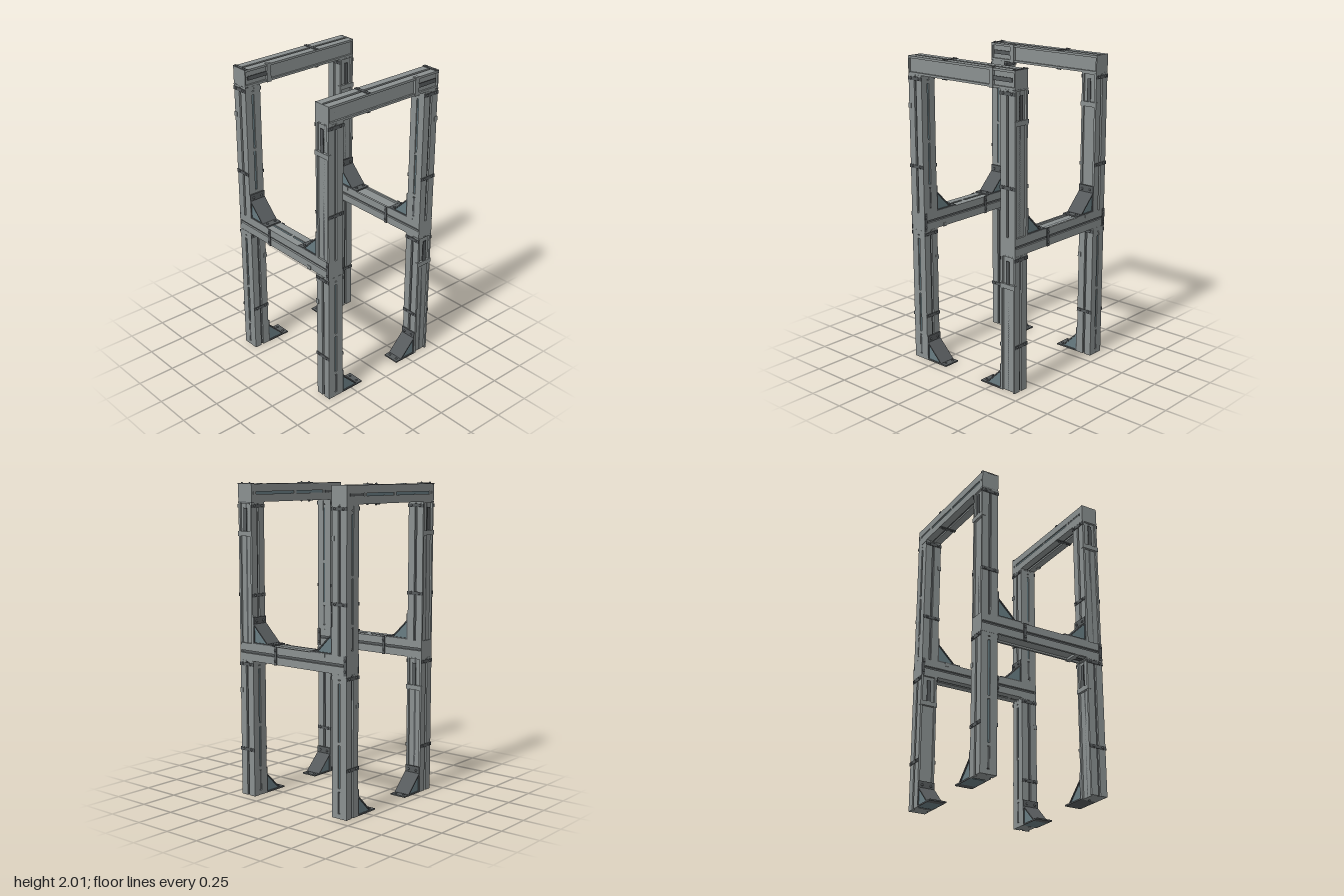
import * as THREE from 'three';

const steel = new THREE.MeshStandardMaterial({ color: 0x8a9090 });
const dark = new THREE.MeshStandardMaterial({ color: 0x565a5c });
const glass = new THREE.MeshStandardMaterial({ color: 0x687c82 });

const H = 0.056;   // half width of a member
const D = 0.38;    // distance of the posts from the centre
const GUSSET_W = 0.112;

function add(parent, name, geometry, material, x = 0, y = 0, z = 0) {
  const mesh = new THREE.Mesh(geometry, material);
  mesh.name = name;
  mesh.position.set(x, y, z);
  parent.add(mesh);
  return mesh;
}

function box(parent, name, material, w, h, d, x, y, z) {
  return add(parent, name, new THREE.BoxGeometry(w, h, d), material, x, y, z);
}

// Domed bolt whose axis points along dir
function bolt(parent, pos, dir) {
  const g = new THREE.SphereGeometry(0.008, 10, 5, 0, Math.PI * 2, 0, Math.PI / 2);
  const mesh = add(parent, 'bolt', g, dark, ...pos);
  mesh.quaternion.setFromUnitVectors(new THREE.Vector3(0, 1, 0), new THREE.Vector3(...dir));
}

// Grooved square section: narrow slots on three sides, a wide recess on +z
function sectionShape() {
  const pts = [];
  const sides = [[0.008, 0.014], [0.042, 0.012], [0.008, 0.014], [0.008, 0.014]];
  sides.forEach(([w, depth], i) => {
    const a = i * Math.PI / 2;
    const local = [[H, -H], [H, -w], [H - depth, -w], [H - depth, w], [H, w]];
    for (const [u, v] of local) {
      pts.push(new THREE.Vector2(u * Math.cos(a) - v * Math.sin(a), u * Math.sin(a) + v * Math.cos(a)));
    }
  });
  return new THREE.Shape(pts);
}

// One member along +y: panels on +z, access slot on -z, plain grooves on +x and -x
function createMember(name, length) {
  const g = new THREE.Group();
  g.name = name;
  const core = new THREE.ExtrudeGeometry(sectionShape(), { depth: length, bevelEnabled: false });
  core.rotateX(Math.PI / 2).rotateY(Math.PI).rotateZ(Math.PI);
  core.computeBoundingBox();
  core.translate(0, -core.boundingBox.min.y, 0);
  // Keep the wide recess on +z
  add(g, 'groovedCore', core, steel);

  // Dark groove floors
  for (const s of [-1, 1]) {
    box(g, 'grooveFloor', dark, 0.003, length - 0.004, 0.016, s * (H - 0.0135), length / 2, 0);
  }
  box(g, 'grooveFloor', dark, 0.016, length - 0.004, 0.003, 0, length / 2, -H + 0.0135);

  // Panels and the cross bands between them
  const panel = (mat, a, b, w) => box(g, 'insetPanel', mat, w, b - a, 0.006, 0, (a + b) / 2, H - 0.01);
  panel(glass, 0.185, 0.455, 0.084);
  panel(glass, 0.475, 0.83, 0.084);
  const band = (a, b) => box(g, 'panelBand', steel, 0.084, b - a, 0.012, 0, (a + b) / 2, H - 0.0065);
  for (const [a, b] of [[0, 0.03], [0.168, 0.188], [0.455, 0.475], [0.83, 0.85], [0.856, length]]) band(a, b);
  panel(dark, 0.03, 0.168, 0.084);
  box(g, 'hatch', dark, 0.072, 0.126, 0.006, 0, 0.099, H - 0.005);

  // Access slot and its bracket
  box(g, 'accessSlot', dark, 0.026, 0.145, 0.004, 0, 0.778, -H + 0.001);
  box(g, 'slotBracket', steel, 0.119, 0.03, 0.024, 0, 0.69, -H + 0.008);

  // Bolted straps over the plain grooves
  for (const s of [-1, 1]) {
    for (const y of [0.305, 0.862]) {
      box(g, 'strap', dark, 0.006, 0.022, 0.118, s * (H + 0.001), y, 0);
      for (const z of [-0.033, 0.033]) bolt(g, [s * (H + 0.003), y, z], [s, 0, 0]);
    }
  }
  // End collar
  box(g, 'endCap', steel, 0.114, 0.008, 0.114, 0, length - 0.004, 0);
  return g;
}

// Orient a member: t is its long direction, p the direction its panels face
function place(g, pos, t, p) {
  const y = new THREE.Vector3(...t), z = new THREE.Vector3(...p);
  const x = new THREE.Vector3().crossVectors(y, z);
  g.quaternion.setFromRotationMatrix(new THREE.Matrix4().makeBasis(x, y, z));
  g.position.set(...pos);
  return g;
}

// Corner brace: stands at the origin, reaches out along +z
function createGusset() {
  const g = new THREE.Group();
  g.name = 'cornerGusset';
  const web = new THREE.Shape([[0, 0], [0.12, 0], [0.12, 0.006], [0.006, 0.122], [0, 0.122]]
    .map(p => new THREE.Vector2(...p)));
  const geo = new THREE.ExtrudeGeometry(web, { depth: 0.098, bevelEnabled: false });
  geo.translate(0, 0, -0.049).rotateY(-Math.PI / 2);
  add(g, 'web', geo, glass);
  box(g, 'basePlate', dark, GUSSET_W, 0.009, 0.168, 0, 0.0045, 0.084);
  box(g, 'backPlate', dark, GUSSET_W, 0.168, 0.009, 0, 0.084, 0.0045);
  const slope = box(g, 'slopedPlate', dark, GUSSET_W, 0.163, 0.007, 0, 0.065, 0.064);
  slope.rotation.x = -Math.PI / 4;
  for (const x of [-0.03, 0.03]) {
    bolt(g, [x, 0.009, 0.143], [0, 1, 0]);
    bolt(g, [x, 0.143, 0.009], [0, 0, 1]);
  }
  return g;
}

export function createModel() {
  const model = new THREE.Group();
  model.name = 'steelFrame';
  const X = [1, 0, 0], Z = [0, 0, 1], Y = [0, 1, 0];
  const neg = v => v.map(c => -c);

  // Posts: side signs and the direction of the panels, for each storey
  const storeys = [
    { name: 'lowerPost', base: 0, posts: [[1, 1, X], [-1, 1, Z], [1, -1, neg(X)], [-1, -1, neg(Z)]] },
    { name: 'upperPost', base: 0.998, posts: [[1, 1, neg(Z)], [1, -1, Z], [-1, -1, neg(X)], [-1, 1, X]] },
  ];
  storeys.forEach(({ name, base, posts }, storey) => {
    for (const [sx, sz, panelDir] of posts) {
      model.add(place(createMember(name, 0.886), [sx * D, base, sz * D], Y, panelDir));
      // Braces point inward along z on the ground, along x on the cross beams
      const gusset = createGusset();
      if (storey === 0) {
        gusset.position.set(sx * D, base, sz * (D - H));
        gusset.rotation.y = sz > 0 ? Math.PI : 0;
      } else {
        gusset.position.set(sx * (D - H), base, sz * D);
        gusset.rotation.y = -sx * Math.PI / 2;
      }
      model.add(gusset);
    }
  });

  // Cross beams front and back, top rails left and right
  const E = D + H;
  const beams = [
    ['frontCrossBeam', [-E, 0.942, D], X, Y],
    ['backCrossBeam', [E, 0.942, -D], neg(X), neg(Y)],
    ['leftTopRail', [D, 1.94, E], neg(Z), neg(X)],
    ['rightTopRail', [-D, 1.94, -E], Z, neg(X)],
  ];
  for (const [name, pos, t, p] of beams) {
    const beam = createMember(name, 2 * E);
    box(beam, 'startCap', steel, 0.114, 0.008, 0.114, 0, 0.004, 0);
    model.add(place(beam, pos, t, p));
  }
  return model;
}
